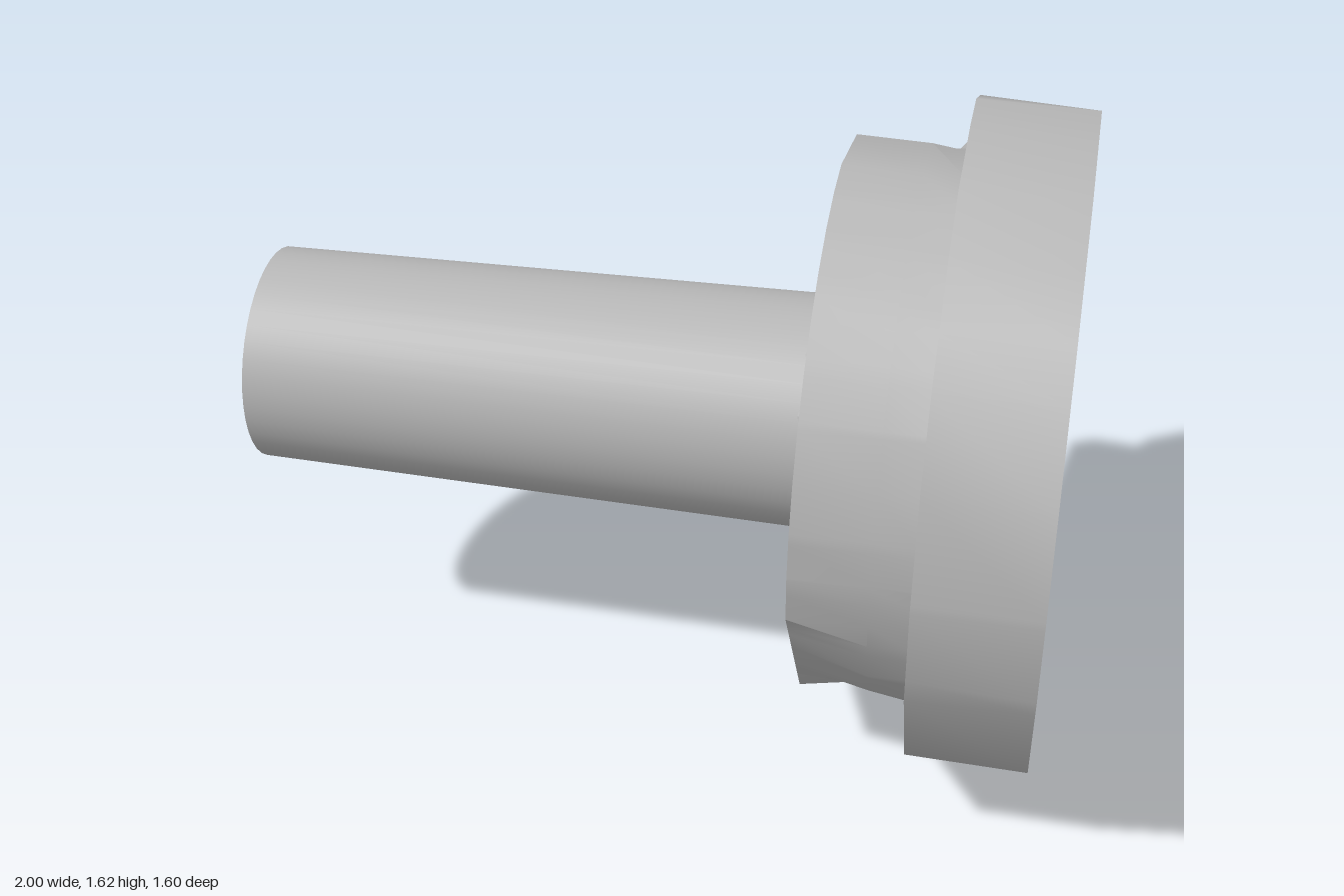
import * as THREE from 'three';
import { toCreasedNormals } from 'three/addons/utils/BufferGeometryUtils.js';

const CY = 0.835; // height of the shaft axis

// Points [z, y] on a circle around the axis, angles in degrees from +z towards +y
function arc(r, from, to, n) {
  return Array.from({ length: n + 1 }, (_, i) => {
    const a = THREE.MathUtils.degToRad(from + (to - from) * i / n);
    return [r * Math.cos(a), CY + r * Math.sin(a)];
  });
}

const angleOf = ([z, y]) => (Math.atan2(y - CY, z) + Math.PI * 2) % (Math.PI * 2);

// Distance from the axis to a closed outline along an angle
function reach(outline, angle) {
  const dz = Math.cos(angle), dy = Math.sin(angle);
  let best = 0;
  outline.forEach(([z0, y0], i) => {
    const [z1, y1] = outline[(i + 1) % outline.length];
    const ez = z1 - z0, ey = y1 - y0, det = dy * ez - dz * ey;
    if (Math.abs(det) < 1e-9) return;
    const pz = z0, py = y0 - CY;
    const t = (py * ez - pz * ey) / det;
    const s = (dz * py - dy * pz) / det;
    if (s > -1e-6 && s < 1 + 1e-6 && t > best) best = t;
  });
  return best;
}

// Closed solid through outlines [x, outline] stacked along x
function loft(sections, crease) {
  const all = sections.flatMap(([, o]) => o.map(angleOf)).sort((a, b) => a - b);
  const angles = all.filter((a, i) => i === 0 || a - all[i - 1] > 0.01);
  const rings = sections.map(([x, o]) => angles.map((a) => {
    const r = reach(o, a);
    return [x, CY + r * Math.sin(a), r * Math.cos(a)];
  }));
  const pos = [];
  const tri = (...p) => p.forEach((v) => pos.push(...v));
  const n = angles.length, last = rings.length - 1;
  for (let j = 0; j < n; j++) {
    const k = (j + 1) % n;
    for (let i = 0; i < last; i++) {
      const a = rings[i], b = rings[i + 1];
      tri(a[j], b[j], a[k]);
      tri(b[j], b[k], a[k]);
    }
    tri([sections[0][0], CY, 0], rings[0][j], rings[0][k]);
    tri([sections[last][0], CY, 0], rings[last][k], rings[last][j]);
  }
  const geo = new THREE.BufferGeometry();
  geo.setAttribute('position', new THREE.Float32BufferAttribute(pos, 3));
  return toCreasedNormals(geo, crease);
}

export function createModel() {
  const group = new THREE.Group();
  const grey = new THREE.MeshStandardMaterial({ color: 0xb8b8b8 });
  grey.name = 'plain grey';
  const add = (name, geo) => {
    const mesh = new THREE.Mesh(geo, grey);
    mesh.name = name;
    group.add(mesh);
  };

  // Shaft, slightly wider towards the head
  const shaft = new THREE.CylinderGeometry(0.27, 0.292, 1.44, 40);
  shaft.rotateZ(Math.PI / 2).translate(-0.28, CY, 0);
  add('shaft', shaft);

  // Faceted fillet where the shaft meets the head
  const fillet = new THREE.CylinderGeometry(0.285, 0.335, 0.055, 12);
  fillet.rotateZ(Math.PI / 2).translate(0.4, CY, 0);
  add('fillet', toCreasedNormals(fillet, 0.2));

  // Inner flange: chipped at the lower front, notched and cut away at the back
  const innerFace = [
    ...arc(0.685, -10.5, 90, 10), [-0.3, 1.45], [-0.53, 1.27], [-0.65, 1.1], [-0.69, 0.98],
    [-0.34, 0.86], [-0.33, 0.72], [-0.37, 0.26], [-0.1, 0.16], [0.12, 0.16], [0.36, 0.26],
  ];
  const innerMiddle = [
    ...arc(0.68, -28, 90, 10), [-0.3, 1.445], [-0.57, 1.21], [-0.67, 1.0], [-0.56, 0.88],
    [-0.68, 0.72], [-0.56, 0.45], [-0.37, 0.26], [-0.1, 0.16], [0.12, 0.155], [0.48, 0.37],
  ];
  const innerBack = [
    ...arc(0.68, -90, 90, 18), [-0.34, 1.42], [-0.63, 1.34], [-0.77, 1.06], [-0.8, 0.9],
    [-0.76, 0.6], [-0.71, 0.42], [-0.58, 0.28], [-0.27, 0.13],
  ];
  add('innerFlange', loft([[0.425, innerFace], [0.61, innerMiddle], [0.712, innerBack]], 0.45));

  // Outer flange: round inner rim, end face trimmed by long straight edges
  const rim = [
    [-0.04, 1.63], [-0.2, 1.62], [-0.39, 1.54], [-0.63, 1.34], [-0.77, 1.06], [-0.8, 0.9],
    [-0.76, 0.6], [-0.71, 0.42], [-0.58, 0.28], [-0.27, 0.1], [-0.1, 0.045], [0.12, 0.04],
    [0.35, 0.12], [0.61, 0.3], [0.77, 0.6], [0.8, 0.87], [0.75, 1.14], [0.63, 1.33],
    [0.4, 1.525], [0.23, 1.605],
  ];
  const endFace = [
    [0.23, 1.605], [-0.2, 1.617], [-0.78, 1.06], [-0.58, 0.28], [-0.1, 0.003], [0.36, 0.11],
    [0.61, 0.295], [0.79, 0.66], [0.8, 0.89], [0.75, 1.14], [0.54, 1.43],
  ];
  add('outerFlange', loft([[0.71, rim], [1, endFace]], 0.5));

  return group;
}
